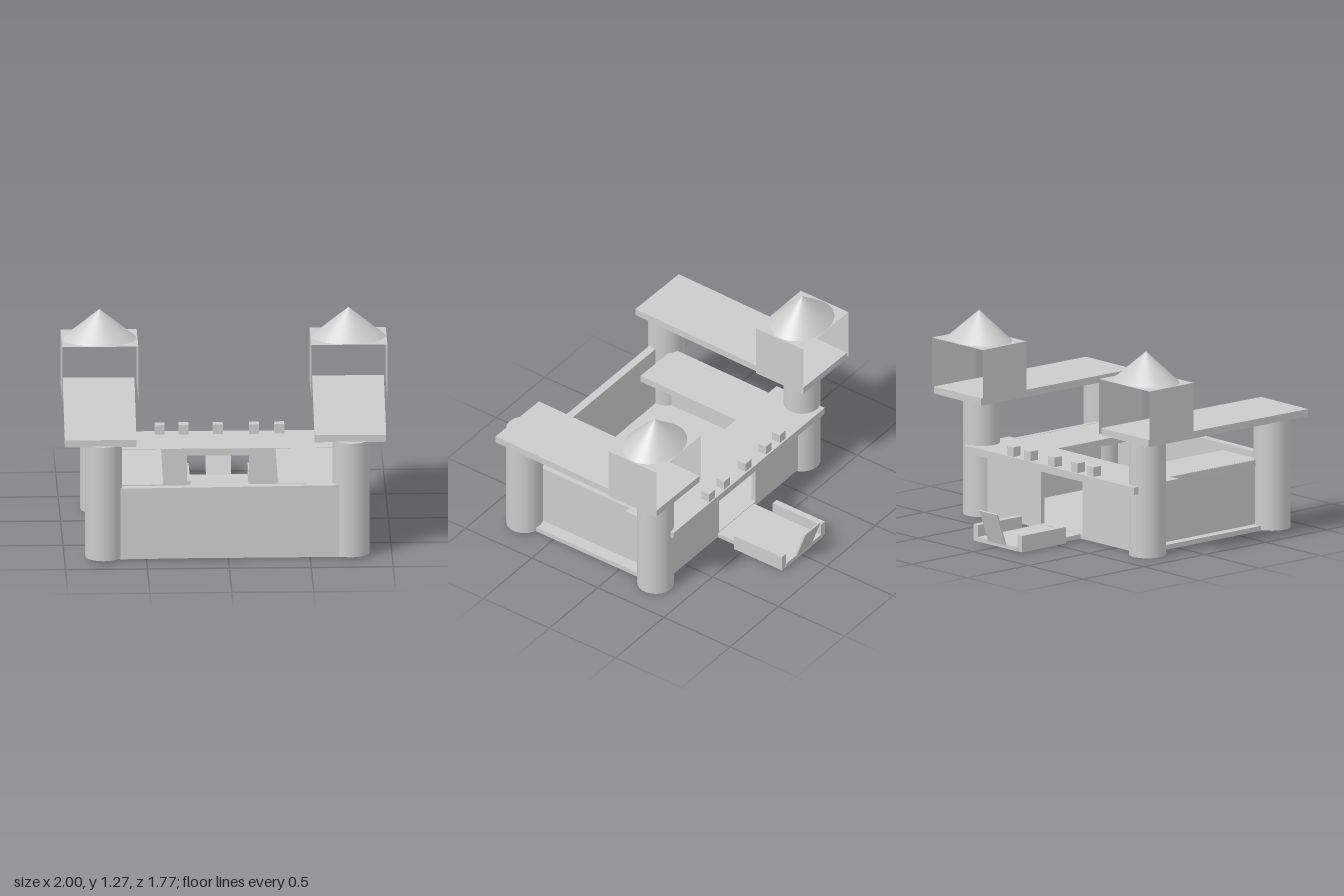
import * as THREE from 'three';

export function createModel() {
  const root = new THREE.Group();
  const grey = new THREE.MeshStandardMaterial({ color: 0xcccccc });
  const flat = new THREE.MeshStandardMaterial({ color: 0xcccccc, flatShading: true });
  const thin = new THREE.MeshStandardMaterial({ color: 0xcccccc, side: THREE.DoubleSide });

  const add = (name, geometry, material, x, y, z) => {
    const mesh = new THREE.Mesh(geometry, material);
    mesh.name = name;
    mesh.position.set(x, y, z);
    root.add(mesh);
    return mesh;
  };

  // box given by its extents along x, y and z
  const block = (name, [x0, x1], [y0, y1], [z0, z1]) =>
    add(name, new THREE.BoxGeometry(x1 - x0, y1 - y0, z1 - z0), flat,
      (x0 + x1) / 2, (y0 + y1) / 2, (z0 + z1) / 2);

  // floor and outer walls, with a gateway at the back
  block('floor', [-0.78, 0.78], [0.01, 0.04], [-0.3, 0.82]);
  block('frontWall', [-0.66, 0.68], [0.012, 0.463], [0.77, 0.82]).rotation.z = 0.008;
  block('rightWall', [-0.72, -0.69], [0.03, 0.444], [-0.28, 0.77]);
  block('leftWall', [0.67, 0.7], [0.03, 0.444], [-0.28, 0.74]);
  block('backWallRight', [-0.7, -0.22], [0.03, 0.41], [-0.3, -0.27]);
  block('backWallLeft', [0.16, 0.69], [0.03, 0.41], [-0.3, -0.27]);

  // raised walkways around the yard
  block('backWalkway', [-0.8, 0.75], [0.4, 0.445], [-0.395, -0.03]).rotation.y = -0.005;
  block('rightWalkway', [-0.725, -0.39], [0.4, 0.443], [-0.04, 0.695]).rotation.y = -0.012;
  block('leftWalkway', [0.31, 0.705], [0.4, 0.443], [-0.04, 0.69]).rotation.y = -0.008;

  // battlements along the back edge
  for (const x of [-0.385, -0.24, -0.03, 0.19, 0.345]) {
    block('battlement', [x - 0.03, x + 0.03], [0.44, 0.505], [-0.385, -0.325]);
  }

  // corner columns: x, base height, z
  for (const [x, y, z] of [
    [-0.76, 0.015, 0.77], [0.75, 0.015, 0.735], [-0.76, 0, -0.255], [0.75, 0, -0.255],
  ]) {
    add('cornerColumn', new THREE.CylinderGeometry(0.113, 0.113, 0.74 - y, 48), grey, x, (0.74 + y) / 2, z);
  }

  // upper decks, each slightly askew across its two columns
  for (const [x, z, length, turn] of [[-0.768, 0.21, 1.29, -0.02], [0.756, 0.18, 1.23, -0.018]]) {
    add('upperDeck', new THREE.BoxGeometry(0.437, 0.045, length), flat, x, 0.757, z).rotation.y = turn;
  }

  // turrets: two thin side panels, a thin ceiling and a conical roof
  for (const x of [-0.755, 0.765]) {
    for (const side of [-1, 1]) {
      add('turretSide', new THREE.PlaneGeometry(0.36, 0.345), thin, x + side * 0.232, 0.913, -0.26)
        .rotation.y = side * Math.PI / 2;
    }
    add('turretCeiling', new THREE.PlaneGeometry(0.464, 0.36), thin, x, 1.085, -0.26).rotation.x = -Math.PI / 2;
    add('turretRoof', new THREE.ConeGeometry(0.225, 0.185, 64), grey, x, 1.179, -0.26).scale.z = 0.8;
  }

  // entrance bridge with side rails and a leaning end flap
  block('bridge', [-0.2, 0.17], [0.008, 0.036], [-0.815, -0.29]);
  block('bridgeRailRight', [-0.235, -0.195], [0.008, 0.11], [-0.812, -0.448]);
  block('bridgeRailLeft', [0.165, 0.207], [0.008, 0.11], [-0.812, -0.448]);
  add('bridgeFlap', new THREE.BoxGeometry(0.155, 0.212, 0.01), flat, -0.012, 0.13, -0.848)
    .rotation.x = -0.335;

  return root;
}
